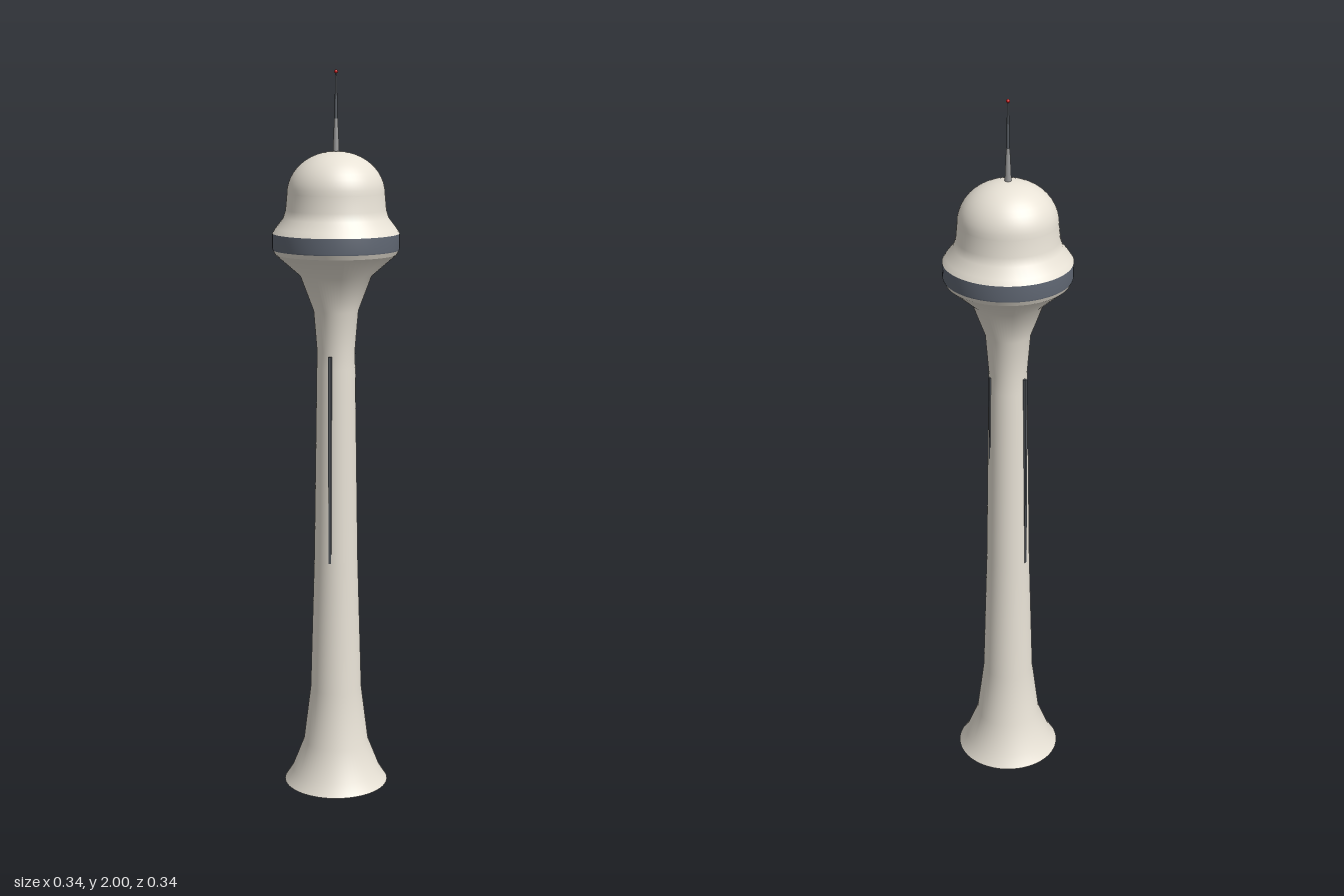
import * as THREE from 'three';

const material = (color) => new THREE.MeshStandardMaterial({ color, side: THREE.DoubleSide });
const concrete = material(0xe8e2d6);
const glass = material(0x5f6672);
const steel = material(0x999999);
const dark = material(0x555a60);
const red = material(0xcc2222);

export function createModel() {
  const tower = new THREE.Group();
  tower.name = 'tower';

  function add(name, geometry, mat, y = 0) {
    const mesh = new THREE.Mesh(geometry, mat);
    mesh.name = name;
    mesh.position.y = y;
    tower.add(mesh);
    return mesh;
  }

  // Surface of revolution from [radius, height] pairs
  const turned = (points) =>
    new THREE.LatheGeometry(points.map(([r, y]) => new THREE.Vector2(r, y)), 64);

  // Flared shaft, open at the foot, widening again under the pod
  add('shaft', turned([
    [0.147, 0], [0.125, 0.035], [0.092, 0.12], [0.072, 0.28], [0.061, 0.66],
    [0.053, 1.2], [0.052, 1.25], [0.061, 1.36], [0.097, 1.455], [0.165, 1.514],
  ]), concrete);

  // Observation pod: lower rim, window band, roof
  add('lowerRim', turned([[0.165, 1.514], [0.171, 1.526]]), concrete);
  add('windowBand', turned([[0.171, 1.526], [0.172, 1.53], [0.172, 1.57], [0.169, 1.572]]), glass);
  add('podRoof', turned([
    [0.172, 1.57], [0.163, 1.584], [0.143, 1.61], [0.136, 1.632], [0.132, 1.675],
  ]), concrete);

  // Dome
  const dome = [];
  for (let i = 0; i <= 12; i++) {
    const a = (i / 12) * Math.PI / 2;
    dome.push([0.132 * Math.cos(a), 1.675 + 0.113 * Math.sin(a)]);
  }
  add('dome', turned(dome), concrete);

  // Antenna in two stages with a warning light
  add('antennaBase', new THREE.CylinderGeometry(0.005, 0.009, 0.09, 16), steel, 1.828);
  add('antennaMast', new THREE.CylinderGeometry(0.0025, 0.0045, 0.122, 12), dark, 1.932);
  add('warningLight', new THREE.SphereGeometry(0.005, 12, 8), red, 1.995);

  // Three slim window strips set into the shaft
  [0.056, 0.062, 0.062].forEach((outer, i) => {
    const angle = i * Math.PI * 2 / 3;
    const strip = add('windowStrip', new THREE.BoxGeometry(0.012, 0.58, 0.008), dark, 0.95);
    const r = outer - 0.006;
    strip.position.x = r * Math.cos(angle);
    strip.position.z = r * Math.sin(angle);
    strip.rotation.y = -angle;
  });

  return tower;
}
